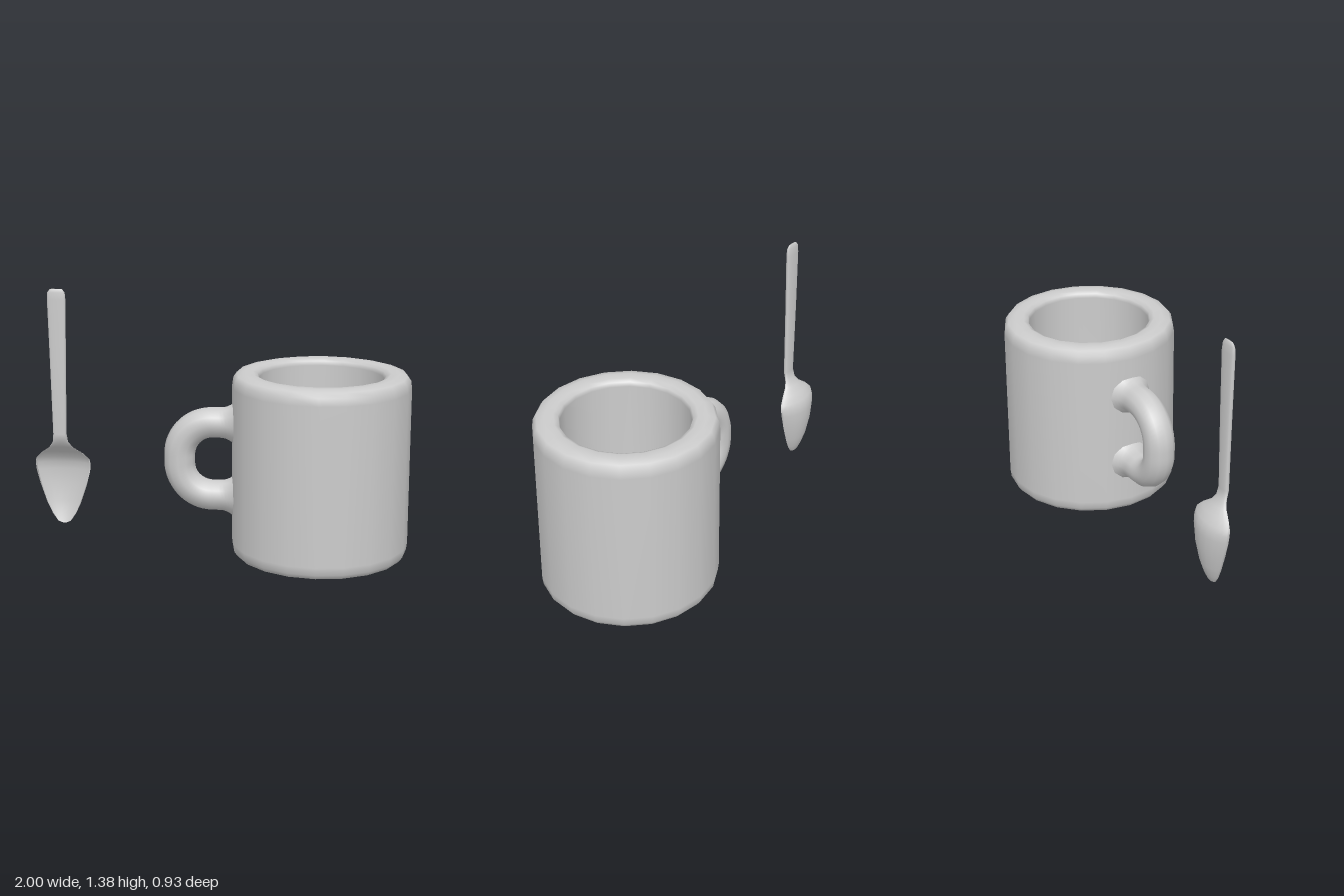
import * as THREE from 'three';

const material = new THREE.MeshStandardMaterial({ color: 0xcccccc, side: THREE.DoubleSide });

function addMesh(group, geometry, name) {
  const mesh = new THREE.Mesh(geometry, material);
  mesh.name = name;
  group.add(mesh);
  return mesh;
}

// Thick-walled cup: underside, outer wall, rim, inner wall, floor
function cupGeometry() {
  const profile = [
    [0, 0], [0.41, 0], [0.44, 0.006], [0.458, 0.03], [0.463, 0.07],
    [0.463, 0.9], [0.457, 0.94], [0.44, 0.965], [0.4, 0.975], [0.355, 0.973],
    [0.332, 0.962], [0.325, 0.94], [0.325, 0.19], [0.31, 0.145], [0.27, 0.12], [0, 0.115],
  ].map(([r, y]) => new THREE.Vector2(r, y));
  return new THREE.LatheGeometry(profile, 20);
}

// Handle: a D-shaped tube that flares where it meets the cup
function handleGeometry() {
  const right = 0.12, bend = -0.03, low = 0.298, high = 0.692, r = 0.175;
  const path = new THREE.CurvePath();
  const v = (x, y) => new THREE.Vector3(x, y, 0);
  const k = r * 0.45;
  path.add(new THREE.LineCurve3(v(right, high), v(bend, high)));
  path.add(new THREE.CubicBezierCurve3(v(bend, high), v(bend - r + k, high), v(bend - r, high - k), v(bend - r, high - r)));
  path.add(new THREE.LineCurve3(v(bend - r, high - r), v(bend - r, low + r)));
  path.add(new THREE.CubicBezierCurve3(v(bend - r, low + r), v(bend - r, low + k), v(bend - r + k, low), v(bend, low)));
  path.add(new THREE.LineCurve3(v(bend, low), v(right, low)));

  const rings = 48, sides = 12;
  const geometry = new THREE.TubeGeometry(path, rings, 0.082, sides, false);
  const pos = geometry.attributes.position;
  const p = new THREE.Vector3();
  for (let i = 0; i <= rings; i++) {
    const c = path.getPointAt(i / rings);
    const flare = 1 + 0.8 * Math.max(0, (c.x - 0.015) / 0.105) ** 2;
    for (let j = 0; j <= sides; j++) {
      const n = i * (sides + 1) + j;
      p.fromBufferAttribute(pos, n).sub(c).multiplyScalar(flare).add(c);
      pos.setXYZ(n, p.x, p.y, p.z);
    }
  }
  geometry.computeVertexNormals();
  // Match normals along the tube seam
  const nor = geometry.attributes.normal;
  for (let i = 0; i <= rings; i++) {
    const a = i * (sides + 1), b = a + sides;
    const n = new THREE.Vector3().fromBufferAttribute(nor, a);
    n.add(new THREE.Vector3().fromBufferAttribute(nor, b)).normalize();
    nor.setXYZ(a, n.x, n.y, n.z);
    nor.setXYZ(b, n.x, n.y, n.z);
  }
  return geometry;
}

// Spoon lofted from sections: height, half width, rim z, front offset, back offset, roundness
function spoonGeometry() {
  const sections = [
    [0.088, 0.012, -0.082, 0.000, -0.006, 1.0],
    [0.098, 0.035, -0.083, -0.004, -0.014, 1.2],
    [0.14, 0.064, -0.086, -0.017, -0.030, 1.5],
    [0.20, 0.092, -0.089, -0.032, -0.047, 1.6],
    [0.30, 0.126, -0.091, -0.046, -0.062, 1.6],
    [0.38, 0.146, -0.090, -0.048, -0.065, 1.6],
    [0.42, 0.150, -0.087, -0.044, -0.062, 1.6],
    [0.45, 0.145, -0.081, -0.036, -0.055, 1.6],
    [0.485, 0.112, -0.068, -0.022, -0.042, 1.5],
    [0.52, 0.064, -0.050, -0.004, -0.027, 1.2],
    [0.555, 0.041, -0.036, 0.008, -0.016, 0.8],
    [0.60, 0.036, -0.026, 0.014, -0.015, 0.6],
    [1.00, 0.043, -0.025, 0.015, -0.015, 0.6],
    [1.32, 0.049, -0.022, 0.014, -0.014, 0.6],
    [1.36, 0.046, -0.021, 0.011, -0.011, 0.7],
    [1.378, 0.032, -0.021, 0.006, -0.006, 0.8],
  ];
  const sides = 20, positions = [], index = [];
  for (const [y, w, z, front, back, round] of sections) {
    for (let j = 0; j < sides; j++) {
      const a = (j / sides) * Math.PI * 2;
      const s = Math.sin(a);
      positions.push(w * Math.cos(a), y, z + (s >= 0 ? front : back) * Math.abs(s) ** round);
    }
  }
  for (let i = 0; i < sections.length - 1; i++) {
    for (let j = 0; j < sides; j++) {
      const a = i * sides + j, b = i * sides + (j + 1) % sides;
      index.push(a, a + sides, b, b, a + sides, b + sides);
    }
  }
  // Close the tip and the handle end
  const last = (sections.length - 1) * sides;
  for (let j = 1; j < sides - 1; j++) {
    index.push(0, j, j + 1, last, last + j + 1, last + j);
  }
  const geometry = new THREE.BufferGeometry();
  geometry.setAttribute('position', new THREE.Float32BufferAttribute(positions, 3));
  geometry.setIndex(index);
  geometry.computeVertexNormals();
  return geometry;
}

export function createModel() {
  const model = new THREE.Group();
  model.name = 'mugAndSpoon';

  const mug = new THREE.Group();
  mug.name = 'mug';
  addMesh(mug, cupGeometry(), 'cup').position.x = 0.535;
  addMesh(mug, handleGeometry(), 'handle');

  const spoon = addMesh(model, spoonGeometry(), 'spoon');
  spoon.position.x = -0.85;

  model.add(mug);
  return model;
}
